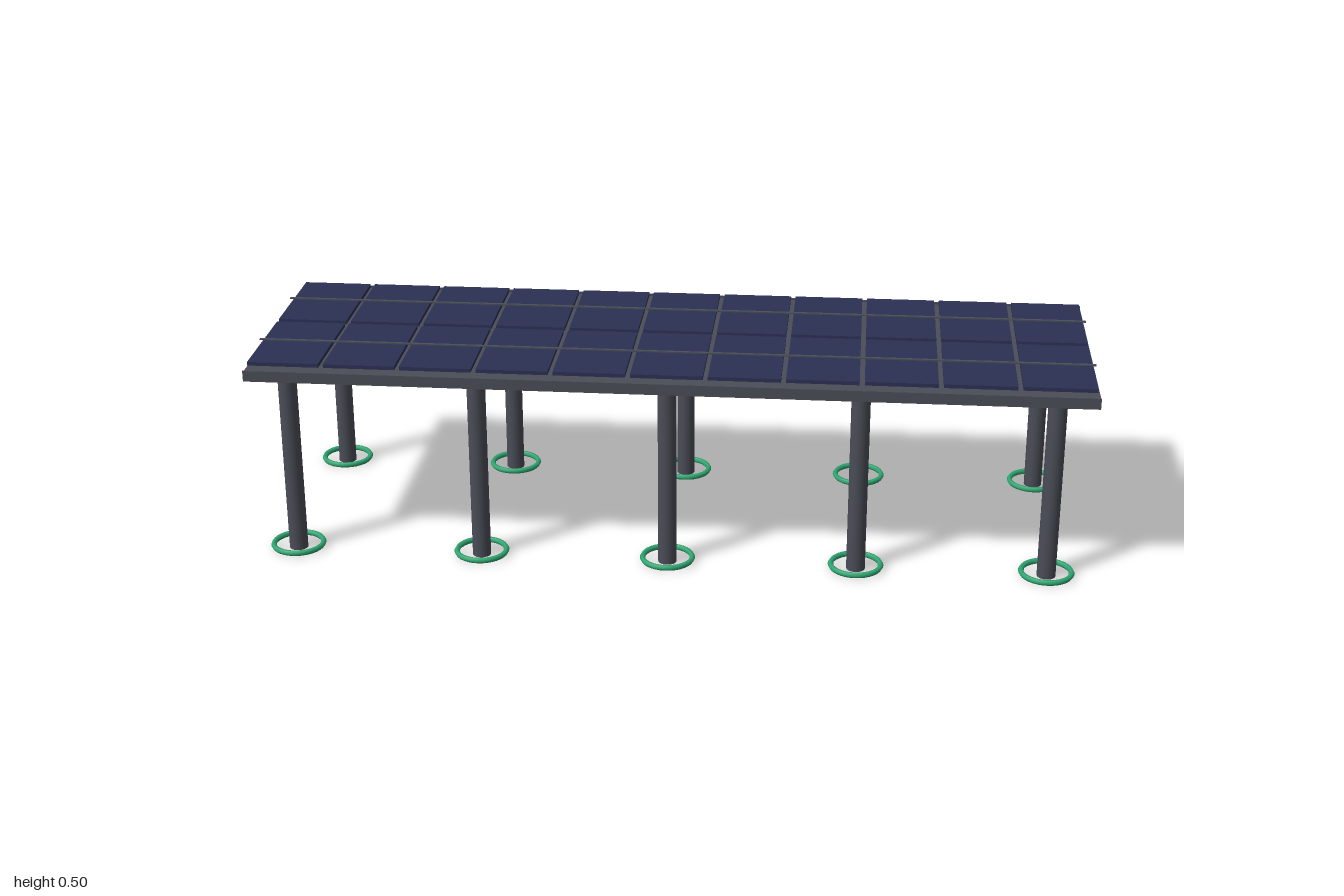
import * as THREE from 'three';

export function createModel() {
  const model = new THREE.Group();
  model.name = 'solarCanopy';

  const material = (name, color) => {
    const m = new THREE.MeshStandardMaterial({ color });
    m.name = name;
    return m;
  };
  const steel = material('dark grey steel', 0x4a4d57);
  const solar = material('navy solar glass', 0x2b3154);
  const green = material('green ring', 0x30a873);

  const add = (name, geometry, mat, x, y, z) => {
    const mesh = new THREE.Mesh(geometry, mat);
    mesh.name = name;
    mesh.position.set(x, y, z);
    model.add(mesh);
    return mesh;
  };

  // Roof deck and the single tie beam beneath its middle
  add('roofDeck', new THREE.BoxGeometry(2, 0.022, 0.628), steel, 0, 0.461, 0);
  add('tieBeam', new THREE.BoxGeometry(0.01, 0.0135, 0.53), steel, 0, 0.441, 0);

  // Columns standing inside flat rings, five on each side
  const columnGeo = new THREE.CylinderGeometry(0.0225, 0.0225, 0.451, 16);
  const ringGeo = new THREE.TorusGeometry(0.06, 0.0068, 6, 32).rotateX(Math.PI / 2);
  const panelGeo = new THREE.BoxGeometry(0.17, 0.009, 0.28);
  const stripGeo = new THREE.BoxGeometry(2, 0.003, 0.008);
  const lipGeo = new THREE.BoxGeometry(2, 0.006, 0.004);
  const pitch = 2 / 11;

  for (const side of [1, -1]) {
    for (let i = -2; i <= 2; i++) {
      const x = i * 0.4535;
      add('column', columnGeo, steel, x, 0.2255, side * 0.2665);
      add('baseRing', ringGeo, green, x, 0.01, side * 0.2665);
    }

    // Row of solar panels floating just above the deck
    for (let i = -5; i <= 5; i++) {
      add('solarPanel', panelGeo, solar, i * pitch, 0.4855, side * 0.149);
    }

    // Rail over the panel row and raised lip along the deck edge
    add('panelRail', stripGeo, steel, 0, 0.4955, side * 0.149);
    add('edgeLip', lipGeo, steel, 0, 0.474, side * 0.313);
  }

  return model;
}
